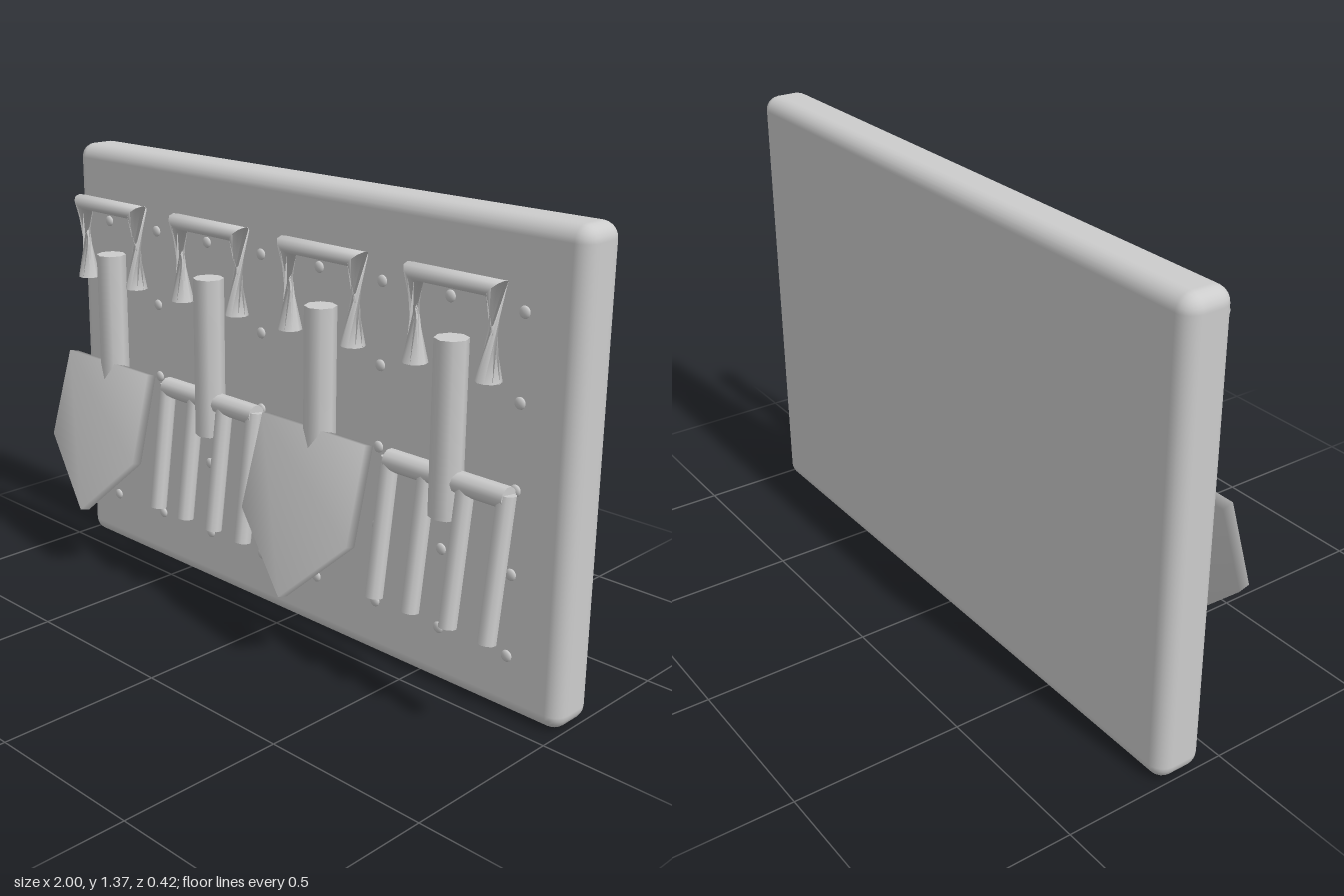
import * as THREE from 'three';
import { mergeVertices } from 'three/addons/utils/BufferGeometryUtils.js';
import { RoundedBoxGeometry } from 'three/addons/geometries/RoundedBoxGeometry.js';

const grey = new THREE.MeshStandardMaterial({ color: 0xcccccc, side: THREE.DoubleSide });
grey.name = 'plain grey';

function add(parent, name, geometry, x = 0, y = 0, z = 0) {
  const mesh = new THREE.Mesh(geometry, grey);
  mesh.name = name;
  mesh.position.set(x, y, z);
  parent.add(mesh);
  return mesh;
}

// Grip: a bar with two twisted legs, lofted through four rings
function gripGeometry(sides = 10) {
  // centre x, centre y, outward x, outward y, depth radius
  const rings = [
    [-0.12, 0.965, 0.035, 0, -0.035],
    [-0.1325, 1.204, -0.0225, 0.0225, 0.035],
    [0.1325, 1.204, 0.0225, 0.0225, 0.035],
    [0.12, 0.965, -0.035, 0, -0.035],
  ];
  const points = [], index = [];
  rings.forEach(([cx, cy, ox, oy, d], i) => {
    for (let j = 0; j < sides; j++) {
      const a = (j / sides) * Math.PI * 2;
      points.push(cx + ox * Math.cos(a), cy + oy * Math.cos(a), d * Math.sin(a));
      if (i === rings.length - 1) continue;
      const p = i * sides + j, q = i * sides + ((j + 1) % sides);
      index.push(p, q, p + sides, q, q + sides, p + sides);
    }
  });
  const g = new THREE.BufferGeometry();
  g.setAttribute('position', new THREE.Float32BufferAttribute(points, 3));
  g.setIndex(index);
  g.computeVertexNormals();
  return g;
}

// Spade blade: five-sided plate with softened shading
function bladeGeometry() {
  const s = new THREE.Shape([
    [-0.2, 0], [-0.208, -0.285], [0, -0.492], [0.208, -0.285], [0.2, 0],
  ].map(([x, y]) => new THREE.Vector2(x, y)));
  let g = new THREE.ExtrudeGeometry(s, { depth: 0.035, bevelEnabled: false });
  g.deleteAttribute('uv');
  g.deleteAttribute('normal');
  g = mergeVertices(g);
  g.computeVertexNormals();
  return g;
}

export function createModel() {
  const model = new THREE.Group();
  model.name = 'toolRack';

  // Backing board
  add(model, 'board', new RoundedBoxGeometry(2, 1.365, 0.15, 3, 0.045), 0, 0.6825, -0.135);

  // Grid of flat studs
  const studs = new THREE.Group();
  studs.name = 'studs';
  model.add(studs);
  const studGeo = new THREE.SphereGeometry(0.017, 12, 8);
  for (let c = 0; c < 8; c++) {
    for (let r = 0; r < 5; r++) {
      add(studs, 'stud', studGeo, (c - 3.5) * 0.237, 0.18 + r * 0.2375, -0.051).scale.z = 0.45;
    }
  }

  const grip = gripGeometry();
  const shaft = new THREE.CylinderGeometry(0.046, 0.046, 0.485, 8);
  const blade = bladeGeometry();
  const crossbar = new THREE.CylinderGeometry(0.031, 0.031, 0.4, 10).rotateZ(Math.PI / 2);
  const tine = new THREE.CylinderGeometry(0.026, 0.026, 0.4, 10).translate(0, -0.2, 0);

  // Alternating spades and forks
  for (let i = 0; i < 4; i++) {
    const tool = new THREE.Group();
    tool.name = i % 2 ? 'fork' : 'spade';
    tool.position.x = -0.7 + i * 0.46;
    model.add(tool);
    add(tool, 'grip', grip, 0, 0, 0.045);
    add(tool, 'shaft', shaft, 0, 0.8125, 0.047);
    if (i % 2 === 0) {
      add(tool, 'blade', blade, 0, 0.697, 0.044).rotation.x = -0.272;
    } else {
      add(tool, 'crossbar', crossbar, 0, 0.675, 0.045);
      for (const x of [-0.195, -0.065, 0.065, 0.195]) {
        add(tool, 'tine', tine, x, 0.684, 0.046).rotation.x = -0.135;
      }
    }
  }
  return model;
}
